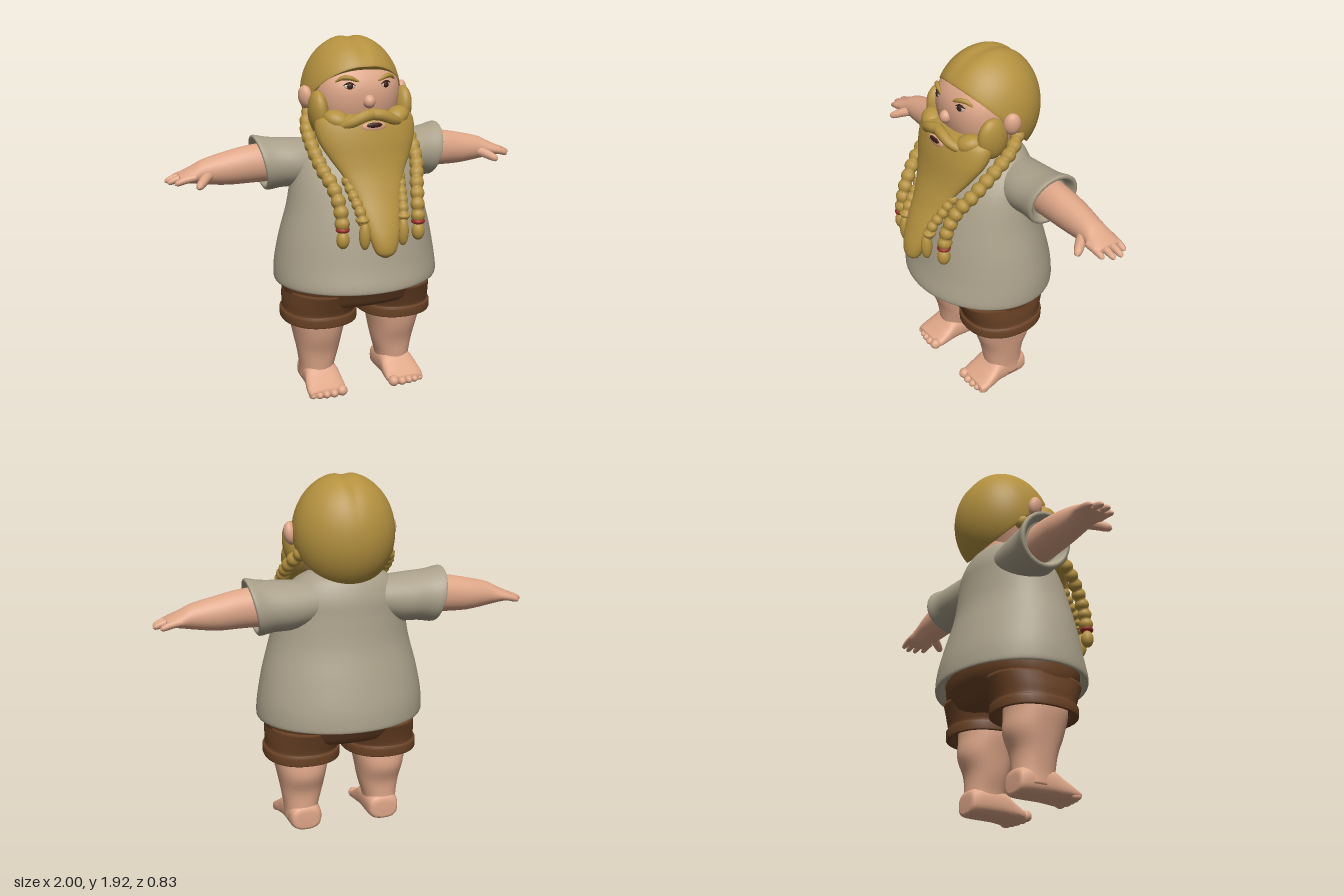
import * as THREE from 'three';
import { mergeVertices } from 'three/addons/utils/BufferGeometryUtils.js';

const mat = (name, color, side = THREE.FrontSide) => {
  const m = new THREE.MeshStandardMaterial({ color, side });
  m.name = name;
  return m;
};
const V = (p) => new THREE.Vector3(...p);

// Smooth closed body through sections [t, a0, a1, b0, b1]; axes are y:(x,z), x:(z,y), z:(y,x)
function loft(axis, rows, { power = 1, steps = 4, sides = 32, warp } = {}) {
  const order = { y: [1, 0, 2], x: [0, 2, 1], z: [2, 1, 0] }[axis];
  const at = (i, k) => rows[Math.min(Math.max(i, 0), rows.length - 1)][k];
  const pos = [], index = [];
  const put = (t, a, b) => {
    const p = new THREE.Vector3();
    [t, a, b].forEach((v, i) => p.setComponent(order[i], v));
    if (warp) warp(p);
    pos.push(p.x, p.y, p.z);
  };
  const bend = (v) => Math.sign(v) * Math.abs(v) ** power;
  const count = (rows.length - 1) * steps + 1;
  for (let r = 0; r < count; r++) {
    const i = Math.min(Math.floor(r / steps), rows.length - 2), f = r / steps - i;
    const [t, a0, a1, b0, b1] = [0, 1, 2, 3, 4].map((k) => {
      const p = at(i - 1, k), q = at(i, k), s = at(i + 1, k), u = at(i + 2, k);
      return q + 0.5 * f * (s - p + f * (2 * p - 5 * q + 4 * s - u + f * (3 * (q - s) + u - p)));
    });
    for (let j = 0; j < sides; j++) {
      const w = (j / sides) * Math.PI * 2;
      put(t, (a0 + a1) / 2 + ((a1 - a0) / 2) * bend(Math.cos(w)), (b0 + b1) / 2 + ((b1 - b0) / 2) * bend(Math.sin(w)));
    }
  }
  for (let r = 0; r < count - 1; r++) {
    for (let j = 0; j < sides; j++) {
      const a = r * sides + j, c = r * sides + ((j + 1) % sides);
      index.push(a, a + sides, c, c, a + sides, c + sides);
    }
  }
  // end caps
  for (const [row, ring] of [[rows[0], 0], [rows[rows.length - 1], count - 1]]) {
    const mid = pos.length / 3;
    put(row[0], (row[1] + row[2]) / 2, (row[3] + row[4]) / 2);
    for (let j = 0; j < sides; j++) {
      const a = ring * sides + j, c = ring * sides + ((j + 1) % sides);
      index.push(...(ring ? [mid, c, a] : [mid, a, c]));
    }
  }
  const g = new THREE.BufferGeometry();
  g.setAttribute('position', new THREE.Float32BufferAttribute(pos, 3));
  g.setIndex(index);
  g.computeVertexNormals();
  return g;
}

// Tube whose radius follows a function of its length
function strand(points, radius, n = 24, sides = 10) {
  const curve = new THREE.CatmullRomCurve3(points.map(V));
  const g = new THREE.TubeGeometry(curve, n, 1, sides);
  const p = g.attributes.position, v = new THREE.Vector3();
  for (let i = 0; i < p.count; i++) {
    const t = Math.floor(i / (sides + 1)) / n, c = curve.getPointAt(t);
    v.fromBufferAttribute(p, i).sub(c).multiplyScalar(Math.max(radius(t), 0.0005)).add(c);
    p.setXYZ(i, v.x, v.y, v.z);
  }
  g.deleteAttribute('uv');
  g.deleteAttribute('normal');
  const out = mergeVertices(g, 1e-6);
  out.computeVertexNormals();
  return out;
}

const ball = (c, r, rot = [0, 0, 0]) => new THREE.SphereGeometry(1, 24, 16).scale(...r)
  .applyMatrix4(new THREE.Matrix4().makeRotationFromEuler(new THREE.Euler(...rot))).translate(...c);

function mirrored(geo) {
  const g = geo.clone().scale(-1, 1, 1), ix = g.index.array;
  for (let i = 0; i < ix.length; i += 3) [ix[i], ix[i + 1]] = [ix[i + 1], ix[i]];
  return g;
}

// Dome of hair cut off by a sloping plane from the brow to the nape
function hairGeometry() {
  const g = new THREE.SphereGeometry(1, 64, 48).rotateX(-Math.PI / 4);
  const p = g.attributes.position;
  for (let i = 0; i < p.count; i++) {
    const x = p.getX(i) * 0.265, dz = p.getZ(i);
    let y = 1.62 + p.getY(i) * 0.305, z = -0.115 + dz * (dz > 0 ? 0.29 : 0.255);
    y -= 0.014 * Math.exp(-((x / 0.035) ** 2)) * Math.max(p.getY(i), 0);
    const d = y - 1.66 - z;
    if (d < 0) { y -= d / 2; z += d / 2; }
    p.setXYZ(i, x, y, z);
  }
  g.computeVertexNormals();
  return g;
}

export function createModel() {
  const model = new THREE.Group();
  const skin = mat('skin', 0xdea688), hair = mat('hair', 0xb4913f), cloth = mat('shirt cloth', 0xaaa08a);
  const brown = mat('shorts cloth', 0x6a4225), red = mat('red band', 0x9c2f26), dark = mat('dark brown', 0x3b1f16);
  const white = mat('eye white', 0xd9c8b8);
  const add = (name, geo, m) => {
    const mesh = new THREE.Mesh(geo, m);
    mesh.name = name;
    model.add(mesh);
  };
  const pair = (name, geo, m) => {
    add(name + 'Left', geo, m);
    add(name + 'Right', mirrored(geo), m);
  };

  // Shirt and sleeves
  add('shirt', loft('y', [
    [0.69, -0.4, 0.4, -0.37, 0.28], [0.645, -0.43, 0.43, -0.4, 0.315], [0.635, -0.45, 0.45, -0.418, 0.335],
    [0.67, -0.455, 0.455, -0.42, 0.335], [0.76, -0.447, 0.447, -0.408, 0.312], [0.9, -0.42, 0.42, -0.372, 0.285],
    [1.05, -0.38, 0.38, -0.33, 0.25], [1.2, -0.35, 0.35, -0.31, 0.2], [1.3, -0.32, 0.32, -0.3, 0.14],
    [1.38, -0.26, 0.26, -0.27, 0.08], [1.42, -0.19, 0.19, -0.235, 0.03], [1.44, -0.15, 0.15, -0.2, 0],
  ], { sides: 48 }), cloth);
  pair('sleeve', loft('x', [
    [0.14, -0.26, -0.02, 1.18, 1.385], [0.3, -0.28, 0.01, 1.14, 1.395], [0.42, -0.285, 0.0, 1.135, 1.405],
    [0.49, -0.3, 0.0, 1.125, 1.42], [0.505, -0.292, -0.008, 1.132, 1.412],
    [0.5, -0.275, -0.025, 1.15, 1.395], [0.46, -0.25, -0.05, 1.17, 1.38],
  ], { warp: (p) => { p.x += (p.y - 1.27) * 0.2; } }), cloth);

  // Arms, hands and fingers
  pair('arm', loft('x', [
    [0.4, -0.24, -0.06, 1.17, 1.38], [0.55, -0.237, -0.065, 1.17, 1.37], [0.68, -0.235, -0.075, 1.17, 1.345],
    [0.8, -0.22, -0.08, 1.185, 1.315], [0.86, -0.225, -0.07, 1.197, 1.285], [0.91, -0.225, -0.065, 1.205, 1.262],
    [0.935, -0.21, -0.08, 1.215, 1.25],
  ]), skin);
  const tip = (r) => (t) => r * (1 - 0.25 * t) * Math.sqrt(Math.max(0, 1 - t ** 8));
  [[-0.208, 0.97], [-0.165, 1.0], [-0.122, 0.995], [-0.08, 0.965]].forEach(([z, x], i) => pair('finger' + i,
    strand([[x - 0.11, 1.24, z], [x - 0.05, 1.228, z - 0.003], [x, 1.21, z - 0.006]], tip(0.021), 14), skin));
  pair('thumb', strand([[0.78, 1.24, -0.11], [0.825, 1.22, -0.055], [0.862, 1.197, -0.01]], tip(0.029), 14), skin);

  // Shorts
  add('shortsSeat', loft('y', [
    [0.505, -0.3, 0.3, -0.22, 0.14], [0.525, -0.38, 0.38, -0.27, 0.2], [0.58, -0.408, 0.408, -0.31, 0.235],
    [0.64, -0.415, 0.415, -0.34, 0.265], [0.72, -0.41, 0.41, -0.35, 0.275],
  ], { power: 0.9 }), brown);
  pair('shortsLeg', loft('y', [
    [0.46, 0.06, 0.385, -0.215, 0.13], [0.425, 0.04, 0.4, -0.24, 0.15], [0.415, 0.018, 0.42, -0.265, 0.175],
    [0.43, 0.014, 0.425, -0.27, 0.18], [0.465, 0.016, 0.423, -0.27, 0.18], [0.475, 0.026, 0.412, -0.26, 0.17],
    [0.53, 0.012, 0.412, -0.275, 0.19], [0.6, 0.01, 0.405, -0.3, 0.22],
  ], { power: 0.9 }), brown);

  // Legs, feet and toes
  pair('leg', loft('y', [
    [0.05, 0.14, 0.32, -0.17, 0.04], [0.12, 0.135, 0.322, -0.165, 0.05], [0.22, 0.108, 0.338, -0.17, 0.065],
    [0.32, 0.09, 0.358, -0.207, 0.1], [0.42, 0.07, 0.378, -0.2, 0.12], [0.5, 0.07, 0.38, -0.2, 0.12],
  ], { power: 0.9 }), skin);
  pair('foot', loft('z', [
    [-0.175, 0.02, 0.1, 0.17, 0.28], [-0.15, 0, 0.14, 0.137, 0.31], [0, 0, 0.15, 0.13, 0.322],
    [0.07, 0, 0.105, 0.125, 0.335], [0.12, 0, 0.07, 0.125, 0.34], [0.155, 0.004, 0.05, 0.135, 0.332],
  ], { power: 0.75 }), skin);
  [[0.155, 0.03, 0.15], [0.203, 0.024, 0.152], [0.245, 0.023, 0.147], [0.283, 0.021, 0.14], [0.318, 0.02, 0.128]]
    .forEach(([x, r, z], i) => pair('toe' + i, ball([x, r, z], [r, r, 0.032]), skin));

  // Head, neck, ears and nose
  add('neck', loft('y', [[1.36, -0.16, 0.16, -0.23, 0], [1.45, -0.15, 0.15, -0.215, 0.02], [1.58, -0.15, 0.15, -0.2, 0.02]]), skin);
  add('head', loft('y', [
    [1.36, -0.12, 0.12, -0.18, 0.02], [1.45, -0.19, 0.19, -0.2, 0.1], [1.58, -0.23, 0.23, -0.26, 0.147],
    [1.7, -0.23, 0.23, -0.28, 0.145], [1.8, -0.18, 0.18, -0.26, 0.08], [1.86, -0.1, 0.1, -0.2, 0],
  ], { power: 0.85 }), skin);
  pair('ear', ball([0.268, 1.62, -0.06], [0.034, 0.06, 0.045], [0, -0.4, -0.15]), skin);
  add('nose', ball([0, 1.61, 0.15], [0.032, 0.035, 0.035]), skin);
  add('hairCap', hairGeometry(), hair);

  // Eyes and brows
  pair('eyeWhite', ball([0.1, 1.69, 0.132], [0.029, 0.015, 0.008], [0, 0.3, 0]), white);
  pair('iris', ball([0.099, 1.69, 0.136], [0.016, 0.016, 0.009], [0, 0.3, 0]), dark);
  pair('lash', strand([[0.07, 1.693, 0.141], [0.1, 1.707, 0.136], [0.132, 1.695, 0.122]], (t) => 0.005 * Math.sin(Math.PI * t) + 0.001, 12, 6), dark);
  pair('brow', strand([[0.05, 1.712, 0.145], [0.1, 1.733, 0.134], [0.135, 1.731, 0.115], [0.165, 1.71, 0.098]],
    (t) => 0.013 * Math.sin(Math.PI * t) ** 0.6, 20, 8), hair);

  // Beard, cheek lobes, moustache and mouth
  add('beard', loft('y', [
    [0.845, -0.015, 0.015, 0.36, 0.385], [0.875, -0.055, 0.055, 0.335, 0.412], [0.95, -0.08, 0.08, 0.31, 0.405],
    [1.05, -0.1, 0.1, 0.28, 0.365], [1.15, -0.125, 0.125, 0.22, 0.315], [1.25, -0.17, 0.17, 0.15, 0.272],
    [1.33, -0.22, 0.22, 0.08, 0.25], [1.42, -0.265, 0.265, 0, 0.235], [1.5, -0.272, 0.272, -0.04, 0.215],
    [1.54, -0.24, 0.24, -0.02, 0.19], [1.55, -0.15, 0.15, 0.02, 0.12],
  ], { sides: 40 }), hair);
  pair('beardLobe', ball([0.232, 1.55, 0.03], [0.05, 0.115, 0.085], [0.15, 0, -0.08]), hair);
  pair('beardCheek', ball([0.165, 1.52, 0.125], [0.075, 0.05, 0.06], [0, 0.5, 0.35]), hair);
  pair('moustache', strand([[-0.012, 1.553, 0.195], [0.05, 1.545, 0.205], [0.11, 1.518, 0.195], [0.16, 1.5, 0.165], [0.205, 1.51, 0.125]],
    (t) => 0.03 * Math.sqrt(Math.max(0, 1 - t ** 3))), hair);
  add('lip', ball([0, 1.492, 0.214], [0.066, 0.027, 0.012]), skin);
  add('mouth', ball([0, 1.5, 0.219], [0.045, 0.015, 0.011]), dark);

  // Plaits hanging beside the beard
  const plait = (r, knots) => (t) => r * (0.78 + 0.3 * Math.abs(Math.sin(Math.PI * knots * t)));
  pair('outerPlait', strand([[0.22, 1.54, -0.14], [0.265, 1.47, -0.06], [0.278, 1.38, 0.06], [0.262, 1.28, 0.17],
    [0.232, 1.2, 0.24], [0.215, 1.1, 0.29], [0.21, 1.0, 0.31]], plait(0.036, 13), 104), hair);
  pair('outerPlaitBand', new THREE.TorusGeometry(0.024, 0.012, 10, 20).rotateX(Math.PI / 2).translate(0.21, 0.998, 0.31), red);
  pair('outerPlaitTail', ball([0.21, 0.945, 0.312], [0.034, 0.048, 0.034]), hair);
  pair('innerPlait', strand([[0.15, 1.24, 0.2], [0.135, 1.16, 0.26], [0.118, 1.08, 0.32], [0.11, 1.02, 0.345]], plait(0.028, 6), 48), hair);
  pair('innerPlaitBand', new THREE.TorusGeometry(0.024, 0.012, 10, 20).rotateX(Math.PI / 2).translate(0.113, 1.045, 0.336), hair);
  pair('innerPlaitTail', ball([0.106, 0.965, 0.35], [0.03, 0.075, 0.03]), hair);

  return model;
}
